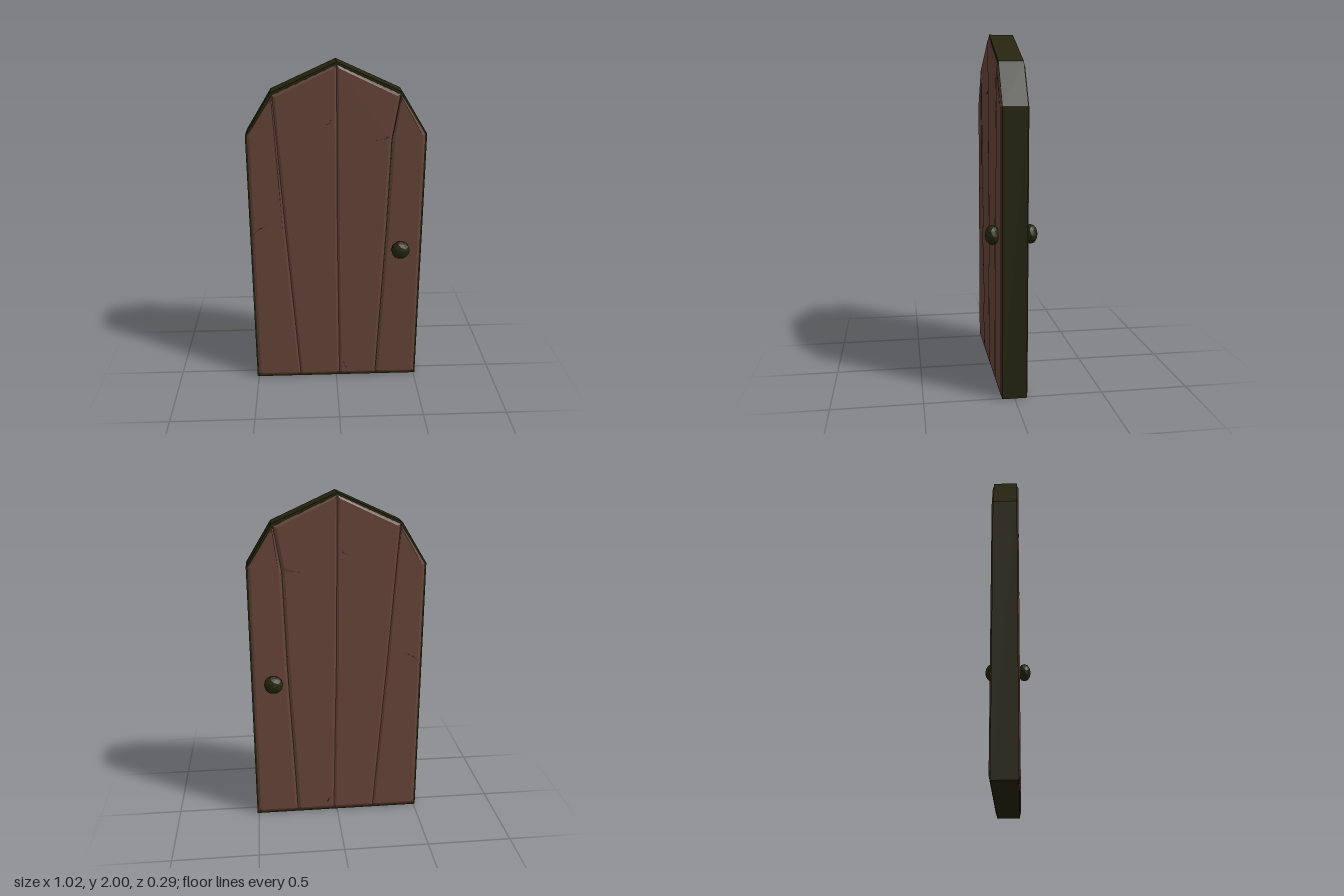
import * as THREE from 'three';

const wood = new THREE.MeshStandardMaterial({ color: 0x6a473b, flatShading: true });
wood.name = 'brown wood';
const crackWood = new THREE.MeshStandardMaterial({ color: 0x573a30, flatShading: true });
crackWood.name = 'cracked wood';
const dark = new THREE.MeshStandardMaterial({ color: 0x25250f, flatShading: true });
dark.name = 'dark iron';

// Extrudes an outline symmetrically through the door, with an optional inset bevel
function slab(name, points, halfDepth, material, bevel = 0, bevelDepth = 0) {
  const shape = new THREE.Shape(points.map(([x, y]) => new THREE.Vector2(x, y)));
  const depth = 2 * (halfDepth - bevelDepth);
  const geometry = new THREE.ExtrudeGeometry(shape, {
    depth, bevelEnabled: bevel > 0, bevelSegments: 1,
    bevelSize: bevel, bevelOffset: -bevel, bevelThickness: bevelDepth,
  });
  geometry.translate(0, 0, -depth / 2);
  const mesh = new THREE.Mesh(geometry, material);
  mesh.name = name;
  return mesh;
}

export function createModel() {
  const door = new THREE.Group();
  door.name = 'door';

  // Dark rim and core
  door.add(slab('rim', [
    [-0.51, 0], [0.51, 0], [0.51, 1.6], [0.365, 1.835], [0, 2], [-0.365, 1.835], [-0.51, 1.6],
  ], 0.069, dark));

  // Planks meet in shallow grooves; only the right seam is open
  const y0 = 0.014;
  const seamA = [[-0.23, y0], [-0.3, 1], [-0.353, 1.824]];
  const seamB = [[0.02, y0], [0.005, 1], [0, 1.986]];
  const seamC = [[0.25, y0], [0.295, 1], [0.312, 1.57], [0.353, 1.824]];
  const shift = (seam, dx) => seam.map(([x, y]) => [x + dx, y]);
  const between = (left, right) => [...right, ...[...left].reverse()];
  const planks = [
    between([[-0.499, y0], [-0.499, 1.597]], seamA),
    between(seamA, seamB),
    between(seamB, shift(seamC, -0.003)),
    between(shift(seamC, 0.003), [[0.499, y0], [0.499, 1.597]]),
  ];
  planks.forEach((p, i) => door.add(slab(`plank${i + 1}`, p, 0.077, wood, 0.014, 0.006)));

  // Small cracks, seen on both faces
  const cracks = [
    [[-0.49, 1.0], [-0.47, 1.03], [-0.39, 1.07], [-0.475, 1.015]],
    [[0.21, 1.565], [0.295, 1.575], [0.3, 1.595], [0.265, 1.575]],
    [[-0.06, 1.655], [-0.032, 1.665], [-0.026, 1.695], [-0.04, 1.672]],
    [[0.045, 0.1], [0.052, 0.06], [0.066, 0.055]],
  ];
  cracks.forEach((c, i) => door.add(slab(`crack${i + 1}`, c, 0.0778, crackWood)));

  // Faceted knobs, front and back
  for (const side of [1, -1]) {
    const geometry = new THREE.IcosahedronGeometry(1, 1).scale(0.056, 0.056, 0.041);
    const knob = new THREE.Mesh(geometry, dark);
    knob.name = side > 0 ? 'frontKnob' : 'backKnob';
    knob.position.set(0.38, 0.9, side * 0.106);
    door.add(knob);
  }
  return door;
}
